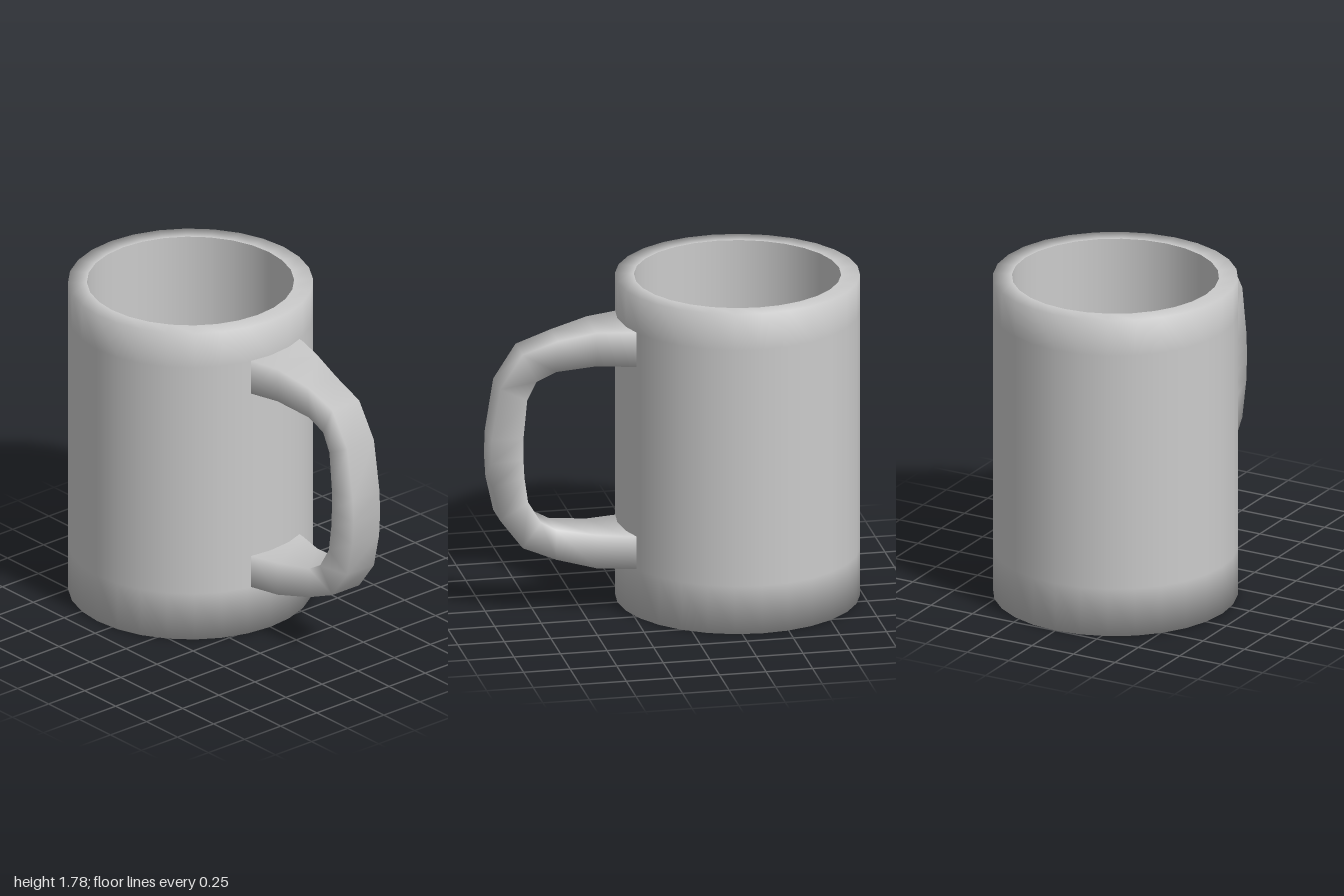
import * as THREE from 'three';

const MUG_X = -0.355, RADIUS = 0.645, INNER = 0.545, HEIGHT = 1.78, SIDES = 28;

function lathe(name, profile, material) {
  const points = profile.map(([r, y]) => new THREE.Vector2(r, y));
  const mesh = new THREE.Mesh(new THREE.LatheGeometry(points, SIDES), material);
  mesh.name = name;
  mesh.position.x = MUG_X;
  return mesh;
}

// Four-cornered section swept through stations, with shared (smooth) normals
function handleGeometry(stations, zCentre) {
  const positions = [], index = [];
  stations.forEach(([ox, oy, ix, iy, half], i) => {
    positions.push(
      ox, oy, zCentre + half, ox, oy, zCentre - half,
      ix, iy, zCentre - half, ix, iy, zCentre + half);
    if (i === stations.length - 1) return;
    for (let k = 0; k < 4; k++) {
      const a = i * 4 + k, b = i * 4 + (k + 1) % 4;
      index.push(a, a + 4, b, b, a + 4, b + 4);
    }
  });
  const geometry = new THREE.BufferGeometry();
  geometry.setAttribute('position', new THREE.Float32BufferAttribute(positions, 3));
  geometry.setIndex(index);
  geometry.computeVertexNormals();
  return geometry;
}

export function createModel() {
  const group = new THREE.Group();
  group.name = 'mug';
  const material = new THREE.MeshStandardMaterial({ color: 0xcccccc });

  // Base, outer wall and rim
  group.add(lathe('outerBody', [
    [0, 0], [RADIUS, 0], [RADIUS, 0.265], [RADIUS, 0.45], [RADIUS, 1.39],
    [RADIUS, 1.58], [RADIUS, HEIGHT], [INNER, HEIGHT],
  ], material));

  // Inner wall and floor
  group.add(lathe('interior', [
    [INNER, HEIGHT], [INNER, 1.58], [INNER, 0.3], [INNER, 0.1], [0, 0.1],
  ], material));

  // Handle stations: outer x, outer y, inner x, inner y, half width
  const stations = [
    [0.22, 1.58, 0.22, 1.39, 0.19],
    [0.28, 1.58, 0.28, 1.39, 0.18],
    [0.44, 1.575, 0.44, 1.39, 0.137],
    [0.64, 1.53, 0.65, 1.36, 0.1],
    [0.83, 1.465, 0.755, 1.31, 0.093],
    [0.95, 1.28, 0.805, 1.21, 0.092],
    [0.995, 1.0, 0.825, 1.0, 0.092],
    [1.0, 0.87, 0.825, 0.88, 0.092],
    [0.992, 0.74, 0.82, 0.78, 0.092],
    [0.95, 0.55, 0.8, 0.64, 0.092],
    [0.83, 0.39, 0.73, 0.525, 0.093],
    [0.65, 0.315, 0.65, 0.48, 0.1],
    [0.44, 0.265, 0.44, 0.45, 0.137],
    [0.28, 0.265, 0.28, 0.445, 0.18],
    [0.22, 0.265, 0.22, 0.445, 0.19],
  ];
  const handle = new THREE.Mesh(handleGeometry(stations, -0.06), material);
  handle.name = 'handle';
  group.add(handle);

  return group;
}
